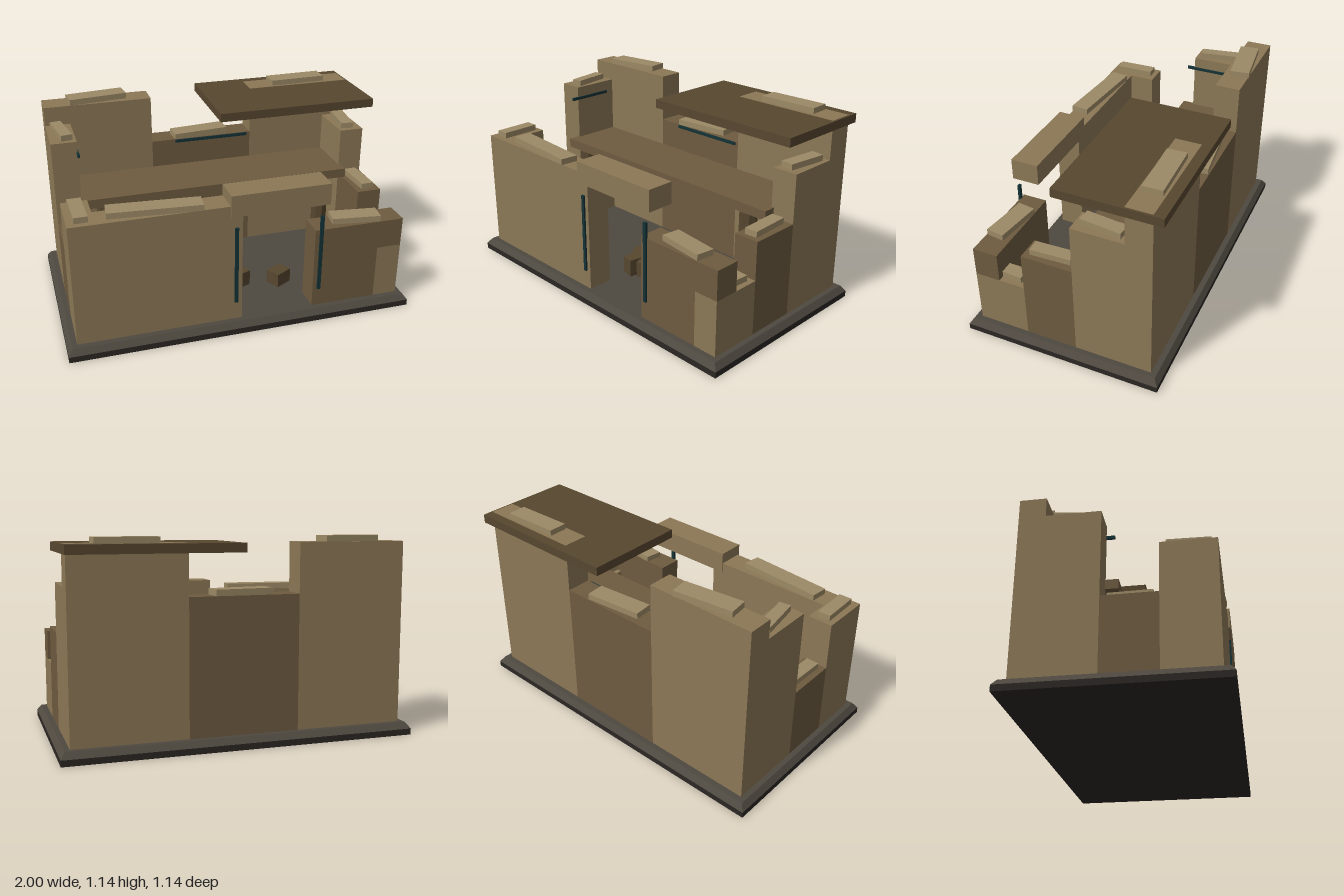
import * as THREE from 'three';

const mat = (color) => new THREE.MeshStandardMaterial({ color, flatShading: true });
const M = {
  wall: mat(0x8c7856), darkWall: mat(0x6e5b40), cap: mat(0x9c8a66), slab: mat(0x6e5b40),
  roof: mat(0x57472f), stone: mat(0x4f4940), plinth: mat(0x2b2724), pipe: mat(0x143236), rubble: mat(0x57472f),
};

export function createModel() {
  const model = new THREE.Group();

  const add = (name, geometry, material, parent = model) => {
    const mesh = new THREE.Mesh(geometry, material);
    mesh.name = name;
    parent.add(mesh);
    return mesh;
  };
  // Box given by its limits on each axis
  const block = (name, material, [x0, x1], [y0, y1], [z0, z1], parent) => {
    const mesh = add(name, new THREE.BoxGeometry(x1 - x0, y1 - y0, z1 - z0), material, parent);
    mesh.position.set((x0 + x1) / 2, (y0 + y1) / 2, (z0 + z1) / 2);
    return mesh;
  };
  // Turned box standing on a given height
  const stone = (name, material, x, y, z, w, h, d, turn, parent) => {
    const mesh = add(name, new THREE.BoxGeometry(w, h, d), material, parent);
    mesh.position.set(x, y + h / 2, z);
    mesh.rotation.y = turn;
    return mesh;
  };
  const group = (name) => {
    const g = new THREE.Group();
    g.name = name;
    model.add(g);
    return g;
  };

  // Base: dark plinth with a bevelled floor slab
  block('plinth', M.plinth, [-1, 1], [0, 0.035], [-0.572, 0.572]);
  const floor = new THREE.BoxGeometry(2, 0.035, 1.144);
  const p = floor.attributes.position;
  for (let i = 0; i < p.count; i++) {
    if (p.getY(i) > 0) {
      p.setX(i, Math.sign(p.getX(i)) * 0.975);
      p.setZ(i, Math.sign(p.getZ(i)) * 0.548);
    }
  }
  floor.computeVertexNormals();
  add('floor', floor, M.stone).position.y = 0.0525;

  // Broken walls: x limits, z limits, bottom, top
  const G = 0.07, X = 0.945, XI = 0.8, Z = 0.515, ZI = 0.37;
  const walls = group('walls');
  [
    ['frontWallRight', M.wall, [-X, -0.015], [ZI, Z], G, 0.78],
    ['frontWallLeft', M.darkWall, [0.41, XI], [ZI, Z], G, 0.56],
    ['frontWallCorner', M.darkWall, [XI, X], [ZI, Z], 0.39, 0.56],
    ['backWallRight', M.wall, [-X, -0.315], [-Z, -ZI], G, 1.11],
    ['backWallMiddle', M.darkWall, [-0.315, 0.31], [-Z, -ZI], G, 0.83],
    ['backWallLeft', M.wall, [0.31, X], [-Z, -ZI], G, 1.112],
    ['rightWallBack', M.wall, [-X, -XI], [-ZI, -0.075], G, 1.0],
    ['rightWallMiddle', M.darkWall, [-X, -XI], [-0.075, 0.22], G, 0.5],
    ['rightWallFront', M.wall, [-X, -XI], [0.22, ZI], G, 0.78],
    ['leftWallBack', M.wall, [XI, X], [-ZI, -0.075], G, 0.89],
    ['leftWallMiddle', M.darkWall, [XI, X], [-0.075, 0.22], G, 0.61],
    ['leftWallFront', M.wall, [XI, X], [0.22, Z], G, 0.39],
  ].forEach(([name, m, x, z, y0, y1]) => block(name, m, x, [y0, y1], z, walls));

  // Loose coping stones: x, y, z, width, depth, turn
  const caps = group('copingStones');
  [
    [-0.63, 1.11, -0.445, 0.34, 0.11, 0.125],
    [-0.005, 0.83, -0.438, 0.34, 0.11, 0.1],
    [0.63, 1.11, -0.443, 0.345, 0.11, 0.03],
    [-0.87, 1.0, -0.222, 0.065, 0.235, 0.17],
    [-0.872, 0.5, 0.07, 0.075, 0.235, -0.02],
    [-0.872, 0.78, 0.365, 0.075, 0.23, 0.03],
    [0.87, 0.89, -0.225, 0.075, 0.235, -0.12],
    [0.87, 0.61, 0.07, 0.075, 0.235, 0.04],
    [0.87, 0.39, 0.365, 0.075, 0.23, -0.08],
    [-0.48, 0.78, 0.445, 0.51, 0.105, -0.085],
    [0.675, 0.56, 0.44, 0.28, 0.105, -0.135],
  ].forEach(([x, y, z, w, d, t]) => stone('copingStone', M.cap, x, y, z, w, 0.034, d, t, caps));

  // Lintel over the doorway, upper floor and remaining roof
  block('lintel', M.wall, [-0.085, 0.485], [0.72, 0.845], [0.365, 0.527]);
  block('upperFloor', M.slab, [-0.815, 0.815], [0.61, 0.665], [-0.372, -0.005]);
  block('roof', M.roof, [0.01, 0.955], [1.06, 1.11], [-0.572, 0.012]);

  // Posts under the upper floor
  for (const side of [-1, 1]) {
    const post = add('post', new THREE.CylinderGeometry(0.05, 0.05, 0.54, 8), M.rubble);
    post.position.set(side * 0.67, 0.34, -0.045);
  }

  // Stairs climbing towards the upper floor
  const stairs = group('stairs');
  for (let i = 0; i < 3; i++) {
    const z = 0.35 - i * 0.114;
    block('step', M.slab, [-XI, -0.58], [G, 0.205 + i * 0.135], [z - 0.114, z], stairs);
  }

  // Thin strips beside the door and on the inner walls
  for (const x of [-0.05, 0.445]) block('doorStrip', M.pipe, [x - 0.01, x + 0.01], [0.18, 0.65], [0.51, 0.525]);
  block('backStrip', M.pipe, [-0.17, 0.29], [0.81, 0.828], [-0.375, -0.362]);
  block('sideStrip', M.pipe, [-0.806, -0.793], [0.92, 0.937], [-0.315, -0.03]);

  // Fallen rubble on the floor
  const rubble = group('rubble');
  [
    [-0.037, 0.115, 0.065, 0.1, 0.1, 0.6],
    [0.012, 0.195, 0.075, 0.105, 0.1, -0.2],
    [0.087, 0.175, 0.08, 0.095, 0.075, 0.38],
    [0.315, 0.213, 0.11, 0.085, 0.09, 0.5],
  ].forEach(([x, z, w, h, d, t]) => stone('rubbleBlock', M.rubble, x, G, z, w, h, d, t, rubble));

  return model;
}
